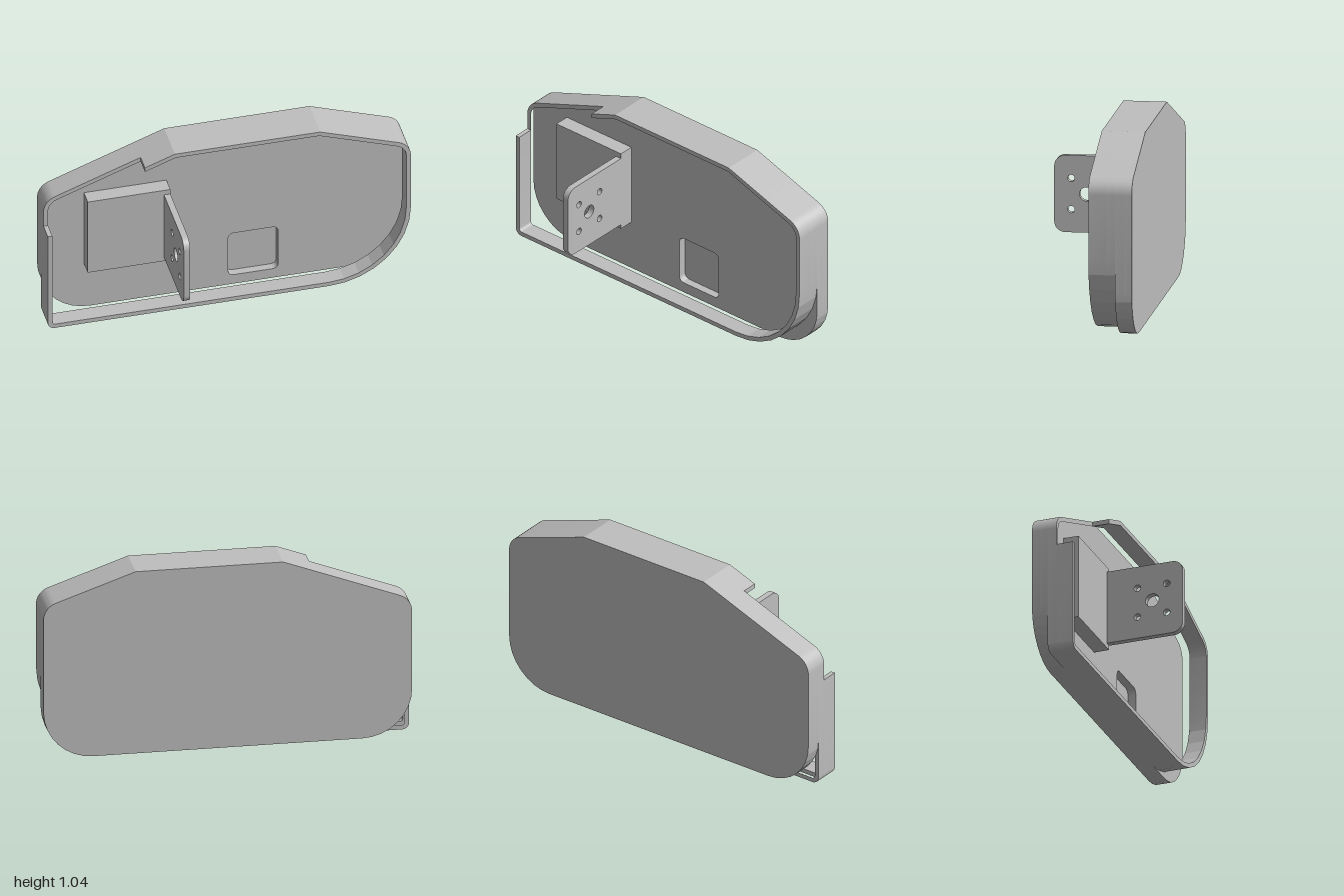
import * as THREE from 'three';
import { toCreasedNormals } from 'three/addons/utils/BufferGeometryUtils.js';

const grey = new THREE.MeshStandardMaterial({ color: 0xbebebe });
grey.name = 'grey';

// Turns corners [x, y, radius, segments] into a closed outline with rounded corners
function outline(corners) {
  const points = [];
  corners.forEach(([x, y, r = 0, n = 12], i) => {
    const c = new THREE.Vector2(x, y);
    if (!r) { points.push(c); return; }
    const prev = corners[(i + corners.length - 1) % corners.length];
    const next = corners[(i + 1) % corners.length];
    const a = new THREE.Vector2(prev[0] - x, prev[1] - y).normalize();
    const b = new THREE.Vector2(next[0] - x, next[1] - y).normalize();
    const half = Math.acos(a.dot(b)) / 2;
    const centre = a.clone().add(b).normalize().multiplyScalar(r / Math.sin(half)).add(c);
    const start = a.multiplyScalar(r / Math.tan(half)).add(c).sub(centre);
    const end = b.multiplyScalar(r / Math.tan(half)).add(c).sub(centre);
    const turn = Math.atan2(start.cross(end), start.dot(end));
    for (let k = 0; k <= n; k++) {
      points.push(start.clone().rotateAround(new THREE.Vector2(), turn * k / n).add(centre));
    }
  });
  return points;
}

function extrude(points, holes, depth) {
  const shape = new THREE.Shape(points);
  holes.forEach(h => shape.holes.push(h instanceof THREE.Path ? h : new THREE.Path(h)));
  const geo = new THREE.ExtrudeGeometry(shape, { depth, bevelEnabled: false, curveSegments: 24 });
  return toCreasedNormals(geo, 0.15);
}

function circle(x, y, r) {
  return new THREE.Path().absarc(x, y, r, 0, Math.PI * 2, true);
}

function rectangle(x0, y0, x1, y1, r) {
  return outline([[x0, y0, r], [x1, y0, r], [x1, y1, r], [x0, y1, r]]);
}

export function createModel() {
  const model = new THREE.Group();
  const add = (name, geo, x = 0, y = 0, z = 0) => {
    const mesh = new THREE.Mesh(geo, grey);
    mesh.name = name;
    mesh.position.set(x, y, z);
    model.add(mesh);
  };

  // Shared upper corners, clockwise from the left of the front
  const top = [[-0.3, 1.045], [0.5, 1.045], [1, 0.87, 0.1]];
  const innerTop = [[-0.295, 1.02], [0.496, 1.02], [0.975, 0.852, 0.075]];

  // Back plate with broad lower corners and a shallow pocket
  const plate = outline([[-1, 0.784, 0.1], ...top, [1, 0, 0.27, 8], [-1, 0, 0.27, 8]]);
  add('backPlate', extrude(plate, [], 0.045), 0, 0, -0.305);
  add('pocketLayer', extrude(plate, [rectangle(0.03, 0.06, 0.305, 0.34, 0.03)], 0.045), 0, 0, -0.26);

  // Rim wall: a closed lower ring, then a front ring with the upper side cut away
  const outerLow = [[1, 0, 0.45, 8], [-1, 0, 0.04]];
  const innerLow = [[0.975, 0.025, 0.425, 8], [-0.975, 0.025, 0.018]];
  const outerRing = outline([[-1, 0.784, 0.1], ...top, ...outerLow]);
  const innerRing = outline([[-0.975, 0.767, 0.075], ...innerTop, ...innerLow]);
  add('rimBase', extrude(outerRing, [innerRing], 0.05), 0, 0, -0.215);

  const openRing = outline([
    [-0.465, 0.9835], ...top, ...outerLow, [-1, 0.62],
    [-0.975, 0.62], ...[...innerTop, ...innerLow].reverse(), [-0.465, 0.957],
  ]);
  add('rimFront', extrude(openRing, [], 0.095), 0, 0, -0.165);

  // Bracket: mounting block and upright arm with drilled holes
  add('bracketBlock', new THREE.BoxGeometry(0.455, 0.475, 0.085), -0.5375, 0.5275, -0.1725);

  const arm = outline([[-0.14, 0.315], [0.305, 0.315, 0.06], [0.305, 0.735, 0.06], [-0.14, 0.735]]);
  const holes = [circle(0.13, 0.525, 0.038)];
  for (const z of [0.045, 0.213]) {
    for (const y of [0.44, 0.61]) holes.push(circle(z, y, 0.019));
  }
  add('bracketArm', extrude(arm, holes, 0.035).rotateY(-Math.PI / 2), -0.31);

  return model;
}
